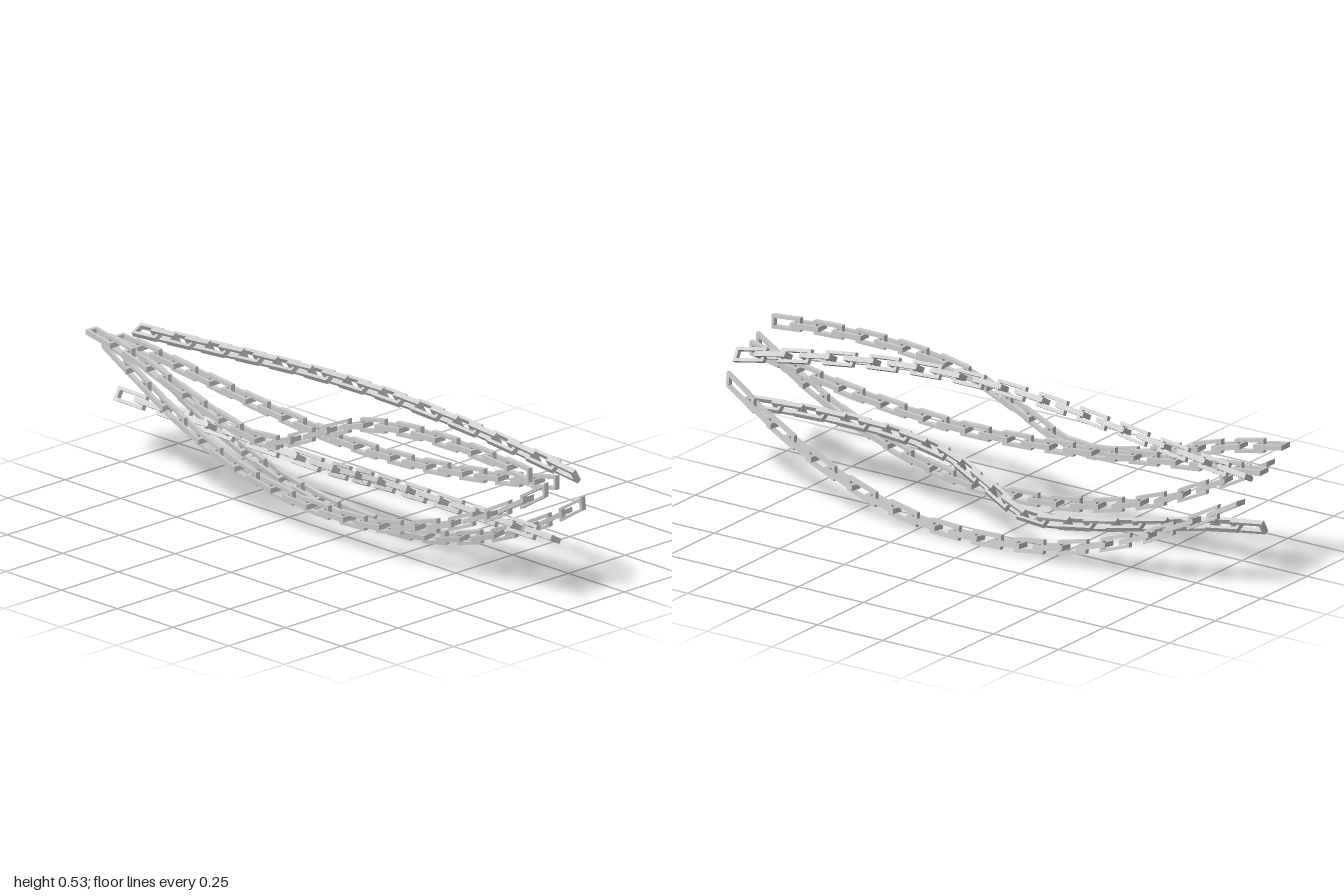
import * as THREE from 'three';
import { mergeGeometries } from 'three/addons/utils/BufferGeometryUtils.js';

const LENGTH = 0.11, WIDTH = 0.047, BAR = 0.0108, THICK = 0.017;
const PITCH = 0.081, LINKS = 24;

function rect(target, w, l) {
  target.moveTo(-w / 2, -l / 2);
  target.lineTo(w / 2, -l / 2);
  target.lineTo(w / 2, l / 2);
  target.lineTo(-w / 2, l / 2);
  target.closePath();
  return target;
}

// one rectangular link lying flat, long side along z
function linkGeometry() {
  const shape = rect(new THREE.Shape(), WIDTH, LENGTH);
  shape.holes.push(rect(new THREE.Path(), WIDTH - 2 * BAR, LENGTH - 2 * BAR));
  const geo = new THREE.ExtrudeGeometry(shape, { depth: THICK, bevelEnabled: false });
  return geo.translate(0, 0, -THICK / 2).rotateX(Math.PI / 2);
}

// heights are sampled every 0.2 from z = -1 to z = 1
function sagCurve(heights) {
  const n = heights.length;
  const padded = [2 * heights[0] - heights[1], ...heights, 2 * heights[n - 1] - heights[n - 2]];
  const curve = new THREE.SplineCurve(padded.map((h, i) => new THREE.Vector2(i * 0.2 - 1.2, h)));
  return z => curve.getPoint((z + 1.2) / 2.4).y;
}

// row of alternately turned links from the back, bent up and down along the sag curve
function chainGeometry(heights, back) {
  const sag = sagCurve(heights);
  const links = [];
  for (let i = 0; i < LINKS; i++) {
    const link = linkGeometry();
    if (i % 2) link.rotateZ(Math.PI / 2);
    links.push(link.translate(0, 0, back + LENGTH / 2 + i * PITCH));
  }
  const geo = mergeGeometries(links);
  const pos = geo.attributes.position;
  for (let i = 0; i < pos.count; i++) pos.setY(i, pos.getY(i) + sag(pos.getZ(i)));
  geo.computeVertexNormals();
  return geo;
}

export function createModel() {
  const group = new THREE.Group();
  const material = new THREE.MeshStandardMaterial({ color: 0xcccccc, flatShading: true });

  const wavy = chainGeometry([0.177, 0.138, 0.08, 0.026, 0.002, 0.078, 0.16, 0.194, 0.202, 0.197, 0.18], -1);
  const deep = chainGeometry([0.328, 0.219, 0.122, 0.054, 0.014, 0, 0.005, 0.042, 0.107, 0.197, 0.315], -0.973);
  const shallow = chainGeometry([0.097, 0.077, 0.055, 0.032, 0.013, 0.002, 0.001, 0.013, 0.035, 0.067, 0.104], -1);

  // each sag is used twice: hanging straight, and rolled about its length
  const chains = [
    ['wavyChain', wavy, -0.135, 0.293, 0],
    ['rolledWavyChain', wavy, 0.134, 0.144, 60],
    ['deepChain', deep, -0.091, 0.108, 0],
    ['rolledDeepChain', deep, 0.111, 0.026, 7.1],
    ['shallowChain', shallow, -0.016, 0.323, 0],
    ['archedChain', shallow, 0.018, 0.508, 210],
  ];
  for (const [name, geo, x, y, roll] of chains) {
    const mesh = new THREE.Mesh(geo, material);
    mesh.name = name;
    mesh.position.set(x, y, 0);
    mesh.rotation.z = THREE.MathUtils.degToRad(roll);
    group.add(mesh);
  }
  return group;
}
